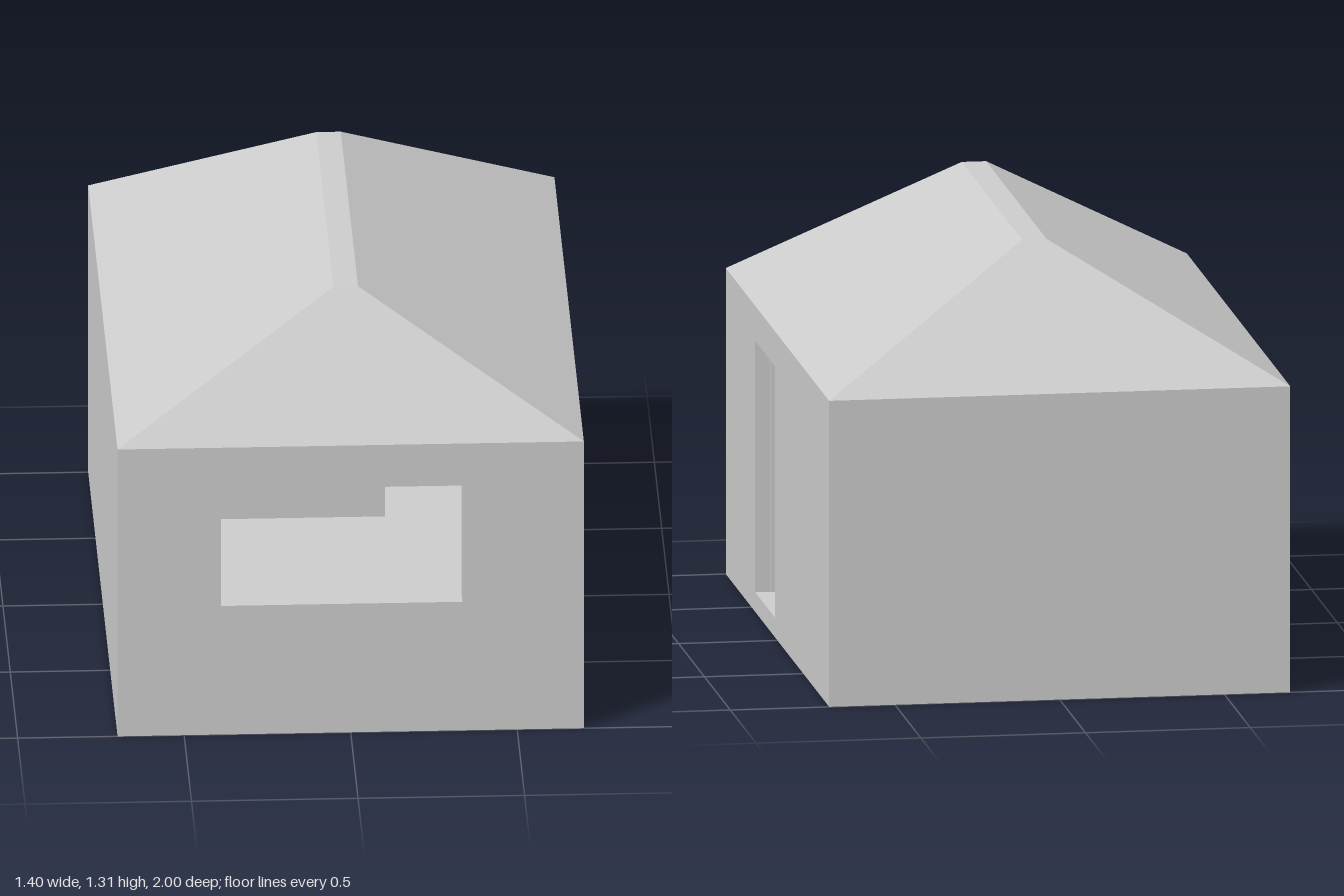
import * as THREE from 'three';
import { ConvexGeometry } from 'three/addons/geometries/ConvexGeometry.js';

const W = 0.7, D = 1, H = 0.937, T = 0.045, FLOOR = 0.06;

export function createModel() {
  const house = new THREE.Group();
  house.name = 'house';
  const material = new THREE.MeshStandardMaterial({ color: 0xcccccc, flatShading: true });

  const add = (name, geometry, parent = house) => {
    const mesh = new THREE.Mesh(geometry, material);
    mesh.name = name;
    parent.add(mesh);
    return mesh;
  };
  // Box given by its lower and upper limits on each axis
  const box = (name, x0, x1, y0, y1, z0, z1, parent) => {
    const mesh = add(name, new THREE.BoxGeometry(x1 - x0, y1 - y0, z1 - z0), parent);
    mesh.position.set((x0 + x1) / 2, (y0 + y1) / 2, (z0 + z1) / 2);
    return mesh;
  };
  const rect = (path, x0, x1, y0, y1) => {
    path.moveTo(x0, y0);
    path.lineTo(x1, y0);
    path.lineTo(x1, y1);
    path.lineTo(x0, y1);
    path.closePath();
    return path;
  };
  // Upright wall slab with one rectangular opening
  const wallWithOpening = (half, opening) => {
    const shape = rect(new THREE.Shape(), -half, half, 0, H);
    shape.holes.push(rect(new THREE.Path(), ...opening));
    return new THREE.ExtrudeGeometry(shape, { depth: T, bevelEnabled: false });
  };

  // Walls: window in the front, doorway in the left side
  add('frontWall', wallWithOpening(W, [-0.39, 0.335, 0.42, 0.8])).position.z = D - T;
  const doorWall = add('doorWall', wallWithOpening(D - T, [-0.43, -0.05, FLOOR, 0.83]));
  doorWall.rotation.y = Math.PI / 2;
  doorWall.position.x = W - T;
  box('backWall', -W, W, 0, H, -D, -D + T);
  box('rightWall', -W, -W + T, 0, H, -D + T, D - T);

  // Floor and ceiling slabs
  box('floor', -W + T, W - T, 0, FLOOR, -D + T, D - T);
  box('ceiling', -W + T, W - T, 0.91, H, -D + T, D - T);

  // Hipped roof with a narrow flat ridge
  const roofPoints = [];
  for (const s of [-1, 1]) {
    roofPoints.push(
      new THREE.Vector3(s * W, H, D), new THREE.Vector3(s * W, H, -D),
      new THREE.Vector3(s * 0.037, 1.31, 0.66), new THREE.Vector3(s * 0.037, 1.31, -0.51));
  }
  add('roof', new ConvexGeometry(roofPoints));

  // Door leaf folded open against the inside of its wall
  box('doorLeaf', 0.615, W - T, FLOOR, 0.825, 0.425, 0.8);

  // Desk: top on two end panels
  const desk = new THREE.Group();
  desk.name = 'desk';
  house.add(desk);
  const d0 = 0.305, d1 = 0.88, p = 0.085;
  box('deskTop', -W + T, -0.363, 0.345, 0.36, d0, d1, desk);
  for (const z of [d0, d1 - p]) box('deskPanel', -W + T, -0.363, FLOOR, 0.345, z, z + p, desk);

  // Monitor facing +x, with a tapered back and a round foot
  const monitor = new THREE.Group();
  monitor.name = 'monitor';
  monitor.position.set(-0.51, 0.36, 0.57);
  house.add(monitor);
  const foot = add('monitorFoot', new THREE.CylinderGeometry(0.035, 0.045, 0.035, 16), monitor);
  foot.position.set(-0.04, 0.0175, 0);
  const casing = rect(new THREE.Shape(), -0.075, 0.075, 0.035, 0.15);
  casing.holes.push(rect(new THREE.Path(), -0.06, 0.06, 0.05, 0.135));
  const bezel = add('monitorBezel',
    new THREE.ExtrudeGeometry(casing, { depth: 0.02, bevelEnabled: false }), monitor);
  bezel.rotation.y = Math.PI / 2;
  box('screen', -0.005, 0.008, 0.045, 0.14, -0.065, 0.065, monitor);
  const back = [];
  for (const z of [-1, 1]) {
    for (const y of [-1, 1]) {
      back.push(new THREE.Vector3(0, 0.0925 + y * 0.052, z * 0.068),
        new THREE.Vector3(-0.1, 0.085 + y * 0.035, z * 0.045));
    }
  }
  add('monitorBack', new ConvexGeometry(back), monitor);

  // Keyboard and mouse
  box('keyboard', -0.425, -0.375, 0.36, 0.368, 0.5, 0.635);
  const mouse = add('mouse', new THREE.SphereGeometry(1, 12, 8));
  mouse.scale.set(0.018, 0.01, 0.012);
  mouse.position.set(-0.405, 0.362, 0.665);

  // Low bed in the back corner
  box('bed', -W + T, 0.168, FLOOR, 0.18, -D + T, -0.488);

  return house;
}
